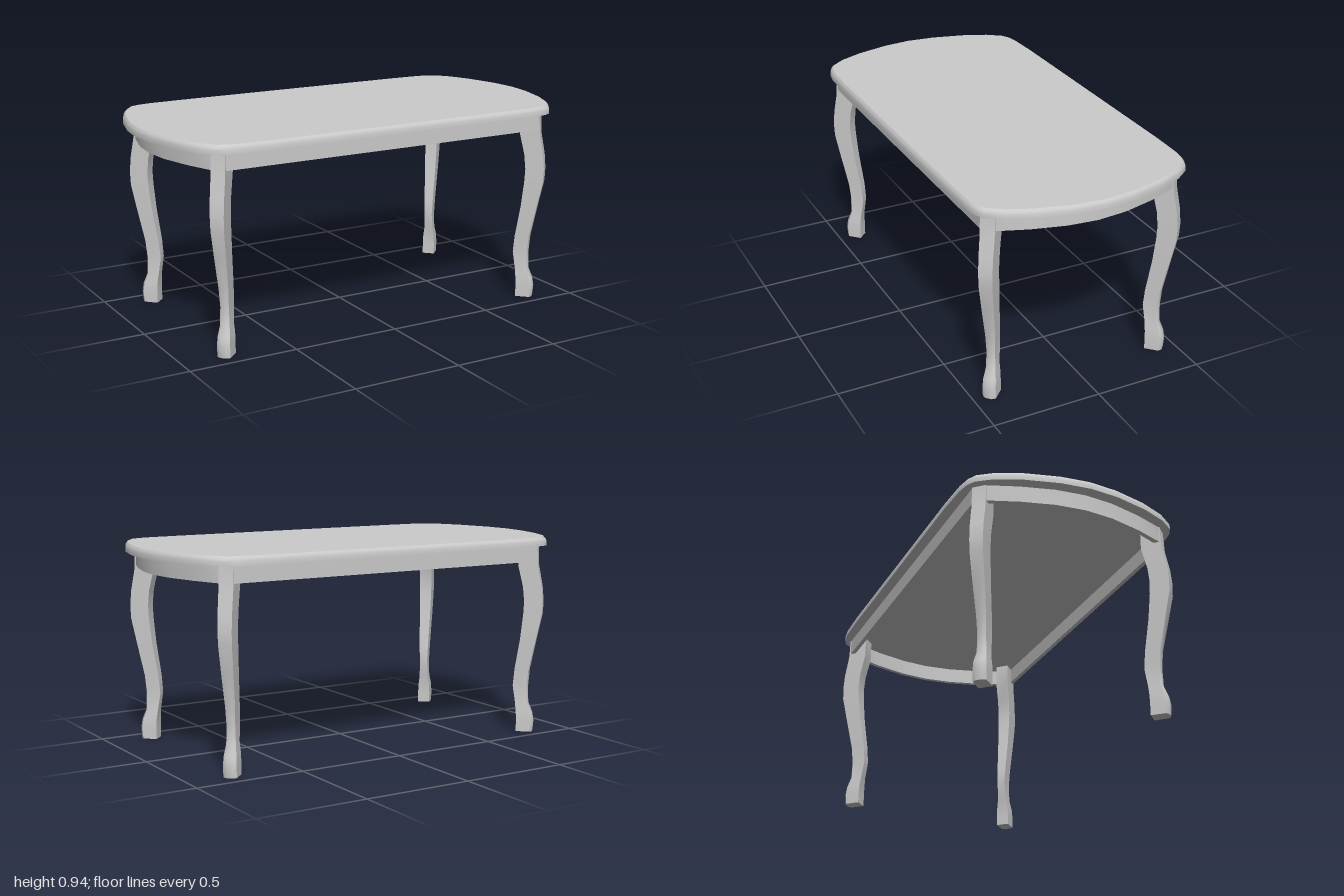
import * as THREE from 'three';
import { toCreasedNormals } from 'three/addons/utils/BufferGeometryUtils.js';

const material = new THREE.MeshStandardMaterial({ color: 0xcccccc });

// Mirror a quarter outline (from the long side round to z = 0) into a closed loop.
function fullOutline(quarter) {
  const half = [...quarter, ...quarter.slice(0, -1).reverse().map(([x, z]) => [x, -z])];
  return [...half, ...half.map(([x, z]) => [-x, -z])];
}

// Skin a stack of equal-length horizontal rings, bottom to top, with flat caps.
function loft(rings, crease) {
  const n = rings[0].length;
  const positions = rings.flat(2);
  const index = [];
  for (let r = 0; r < rings.length - 1; r++) {
    for (let i = 0; i < n; i++) {
      const a = r * n + i, b = r * n + (i + 1) % n;
      index.push(a, a + n, b, b, a + n, b + n);
    }
  }
  const top = (rings.length - 1) * n;
  for (let i = 1; i < n - 1; i++) {
    index.push(0, i, i + 1);
    index.push(top, top + i + 1, top + i);
  }
  // Make the winding face outward whichever way the ring runs.
  let area = 0;
  rings[0].forEach(([x, , z], i) => {
    const [x2, , z2] = rings[0][(i + 1) % n];
    area += x * z2 - x2 * z;
  });
  if (area < 0) index.reverse();
  const geometry = new THREE.BufferGeometry();
  geometry.setAttribute('position', new THREE.Float32BufferAttribute(positions, 3));
  geometry.setIndex(index);
  return toCreasedNormals(geometry, crease);
}

function addMesh(parent, name, geometry) {
  const mesh = new THREE.Mesh(geometry, material);
  mesh.name = name;
  parent.add(mesh);
}

export function createModel() {
  const table = new THREE.Group();
  table.name = 'table';

  // Tabletop: bowed ends and a softened upper edge
  const outline = fullOutline([
    [0.6, 0.508], [0.75, 0.503], [0.81, 0.493], [0.85, 0.473],
    [0.9, 0.405], [0.947, 0.293], [0.987, 0.135], [1, 0],
  ]);
  const edge = [[0.895, 0], [0.916, 0], [0.926, 0.004], [0.935, 0.011]];
  const topRings = edge.map(([y, inset]) =>
    outline.map(([x, z]) => [x * (1 - inset), y, z * (1 - inset / 0.508)]));
  addMesh(table, 'tabletop', loft(topRings, 0.6));

  // Apron: a thin board following the tabletop edge; the hole runs the opposite way
  const toPoints = quarter => fullOutline(quarter).map(([x, z]) => new THREE.Vector2(x, z));
  const apronShape = new THREE.Shape(toPoints(
    [[0.806, 0.462], [0.845, 0.415], [0.893, 0.285], [0.932, 0.135], [0.945, 0]]));
  apronShape.holes.push(new THREE.Path(toPoints(
    [[0.79, 0.442], [0.826, 0.4], [0.873, 0.28], [0.912, 0.132], [0.925, 0]]).reverse()));
  const apron = new THREE.ExtrudeGeometry(apronShape, { depth: 0.075, bevelEnabled: false });
  apron.rotateX(-Math.PI / 2).translate(0, 0.82, 0);
  addMesh(table, 'apron', toCreasedNormals(apron, 0.5));

  // Curved legs set on the diagonal: [height, outer face, inner face, half width, outer bulge]
  const profile = [
    [0, 0.429, 0.383, 0.021, 0.008], [0.05, 0.432, 0.383, 0.021, 0.008],
    [0.09, 0.428, 0.382, 0.02, 0.007], [0.14, 0.416, 0.378, 0.015, 0.005],
    [0.22, 0.4155, 0.369, 0.0135, 0.004], [0.3, 0.421, 0.374, 0.0155, 0.003],
    [0.45, 0.444, 0.391, 0.019, 0.001], [0.57, 0.462, 0.4, 0.021, 0],
    [0.63, 0.4635, 0.402, 0.0215, 0], [0.7, 0.459, 0.397, 0.022, 0],
    [0.8, 0.4455, 0.38, 0.0225, 0], [0.895, 0.4425, 0.38, 0.0225, 0],
  ];
  const places = [
    ['frontLeftLeg', 1, 1], ['frontRightLeg', -1, 1],
    ['backLeftLeg', 1, -1], ['backRightLeg', -1, -1],
  ];
  for (const [name, sx, sz] of places) {
    const rings = profile.map(([y, outer, inner, h, bulge]) => [
      [outer, h], [outer + bulge, h / 2], [outer + bulge, -h / 2],
      [outer, -h], [inner, -h], [inner, h],
    ].map(([d, w]) => [sx * (d + 0.382 + w), y, sz * (d - w)]));
    addMesh(table, name, loft(rings, 0.85));
  }

  return table;
}
